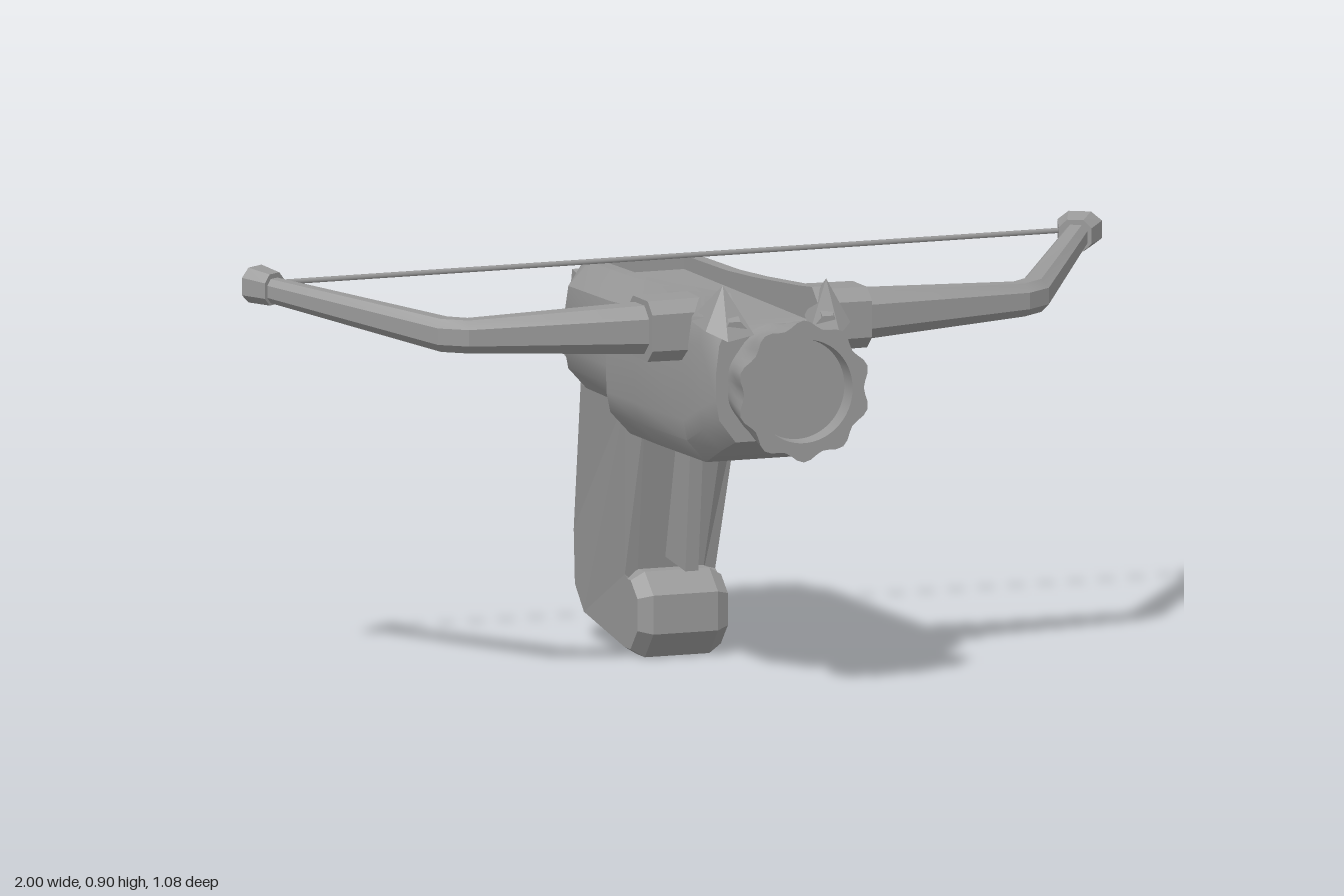
import * as THREE from 'three';
import { toCreasedNormals } from 'three/addons/utils/BufferGeometryUtils.js';
import { ConvexGeometry } from 'three/addons/geometries/ConvexGeometry.js';

const V = (x, y, z) => new THREE.Vector3(x, y, z);

// Skin a list of closed rings; rings run counter-clockwise seen from ahead
function loft(rings, crease = 0.6) {
  const pos = [];
  const tri = (...p) => p.forEach((v) => pos.push(v.x, v.y, v.z));
  const n = rings[0].length;
  for (let i = 0; i < rings.length - 1; i++) {
    for (let j = 0; j < n; j++) {
      const k = (j + 1) % n;
      const a = rings[i][j], b = rings[i][k], c = rings[i + 1][k], d = rings[i + 1][j];
      tri(a, b, c);
      tri(a, c, d);
    }
  }
  const cap = (ring, flip) => {
    const m = ring.reduce((s, p) => s.add(p), V(0, 0, 0)).divideScalar(n);
    ring.forEach((p, j) => {
      const q = ring[(j + 1) % n];
      if (flip) tri(m, q, p);
      else tri(m, p, q);
    });
  };
  cap(rings[0], true);
  cap(rings[rings.length - 1], false);
  const geo = new THREE.BufferGeometry();
  geo.setAttribute('position', new THREE.Float32BufferAttribute(pos, 3));
  geo.computeVertexNormals();
  return toCreasedNormals(geo, crease);
}

// Chamfered-square tube along a path of [x, y, z, halfWidth, halfHeight]
function limb(path, c = 0.5) {
  const pts = path.map((p) => V(p[0], p[1], p[2]));
  const corners = [[1, -c], [1, c], [c, 1], [-c, 1], [-1, c], [-1, -c], [-c, -1], [c, -1]];
  return loft(pts.map((p, i) => {
    const t = V(0, 0, 0);
    if (i > 0) t.add(p.clone().sub(pts[i - 1]).normalize());
    if (i < pts.length - 1) t.add(pts[i + 1].clone().sub(p).normalize());
    t.y = 0;
    const side = V(0, 1, 0).cross(t.normalize());
    return corners.map(([a, b]) =>
      p.clone().addScaledVector(side, a * path[i][3]).add(V(0, b * path[i][4], 0)));
  }), 0.3);
}

// Body section with an open channel between two rails
function bodyRing([z, w, top, bot, floor, slope = 0]) {
  const rail = Math.min(0.125, w * 0.8);
  const half = [
    [0.7 * w, bot], [0.95 * w, bot + 0.05], [w, bot + 0.095], [w, top - 0.11],
    [0.95 * w, top - 0.05], [rail, top], [0.095, top], [0.095, floor],
  ];
  const all = [...half, ...half.map(([x, y]) => [-x, y]).reverse()];
  return all.map(([x, y]) => V(x, y, z + slope * (y - 0.71)));
}

// Side outline (depth to the back, height) extruded across the width
function sidePlate(outline, width, size, thick) {
  const bevel = size > 0;
  const depth = width - 2 * thick;
  const geo = new THREE.ExtrudeGeometry(
    new THREE.Shape(outline.map(([z, y]) => new THREE.Vector2(-z, y))),
    { depth, bevelEnabled: bevel, bevelSize: size, bevelOffset: -size, bevelThickness: thick, bevelSegments: 1 });
  return geo.translate(0, 0, -depth / 2).rotateY(Math.PI / 2);
}

export function createModel() {
  const model = new THREE.Group();
  const grey = new THREE.MeshStandardMaterial({ color: 0x999999 });
  grey.name = 'grey';
  const add = (name, geo) => {
    const mesh = new THREE.Mesh(geo, grey);
    mesh.name = name;
    model.add(mesh);
    return mesh;
  };

  // Body, from the slanted rear to the nose
  add('body', loft([
    [-0.4875, 0.125, 0.81, 0.61, 0.81, 0.237],
    [-0.443, 0.15, 0.825, 0.56, 0.825],
    [-0.385, 0.183, 0.84, 0.56, 0.84],
    [-0.385, 0.183, 0.84, 0.56, 0.81],
    [-0.14, 0.185, 0.845, 0.56, 0.81],
    [-0.139, 0.185, 0.845, 0.503, 0.81],
    [0.02, 0.183, 0.855, 0.503, 0.81],
    [0.28, 0.175, 0.877, 0.505, 0.81],
    [0.35, 0.165, 0.885, 0.54, 0.81],
    [0.41, 0.152, 0.83, 0.567, 0.80],
  ].map(bodyRing)));

  // Rear frame
  const rect = (w, h) => [[-w, -h], [w, -h], [w, h], [-w, h]].map(([x, y]) => new THREE.Vector2(x, y));
  const frameShape = new THREE.Shape(rect(0.128, 0.1));
  frameShape.holes.push(new THREE.Path(rect(0.108, 0.08)));
  const frame = add('rearFrame', new THREE.ExtrudeGeometry(frameShape, { depth: 0.03, bevelEnabled: false }));
  frame.geometry.translate(0, 0, -0.012);
  frame.position.set(0, 0.71, -0.4875);
  frame.rotation.x = 0.233;

  // Fluted, flared muzzle with a recessed mouth
  const muzzle = [
    [0.38, 0.125, 0], [0.42, 0.126, 0.002], [0.48, 0.137, 0.006], [0.54, 0.147, 0.008],
    [0.54, 0.113, 0], [0.50, 0.11, 0],
  ];
  add('muzzle', loft(muzzle.map(([z, r, flute]) =>
    Array.from({ length: 60 }, (_, i) => {
      const a = (i / 60) * Math.PI * 2 + Math.PI / 2;
      const q = r + flute * Math.cos(10 * (a - Math.PI / 2));
      return V(q * Math.cos(a), 0.692 + q * Math.sin(a), z);
    }))));

  // Grip with a forward hook at the foot, narrowing downwards
  const grip = sidePlate([
    [-0.135, 0.6], [-0.14, 0.55], [-0.235, 0.155], [-0.232, 0.19], [-0.19, 0.19], [-0.14, 0.145],
    [-0.14, 0.06], [-0.19, 0.003], [-0.235, 0.003], [-0.475, 0.045], [-0.536, 0.108],
    [-0.536, 0.237], [-0.435, 0.57], [-0.43, 0.6],
  ], 0.21, 0.018, 0.03);
  const p = grip.attributes.position;
  for (let i = 0; i < p.count; i++) {
    const t = THREE.MathUtils.clamp((p.getY(i) - 0.2) / 0.35, 0, 1);
    p.setX(i, p.getX(i) * (1 + 0.26 * t));
  }
  grip.computeVertexNormals();
  add('grip', grip);

  // Trigger blade
  add('trigger', sidePlate([[-0.075, 0.495], [-0.105, 0.2], [-0.225, 0.215], [-0.2, 0.35], [-0.15, 0.52]], 0.03, 0, 0));

  // Mirrored sights, sockets, bow arms and tips
  for (const s of [1, -1]) {
    const side = s > 0 ? 'left' : 'right';
    add(side + 'Sight', new ConvexGeometry([
      V(s * 0.12, 0.905, 0.37), V(s * 0.168, 0.81, 0.39), V(s * 0.13, 0.79, 0.425), V(s * 0.065, 0.8, 0.415),
      V(s * 0.165, 0.82, 0.29), V(s * 0.09, 0.82, 0.32), V(s * 0.12, 0.885, 0.34),
    ]));
    add(side + 'Socket', limb([[s * 0.11, 0.797, 0.23, 0.07, 0.068], [s * 0.255, 0.797, 0.23, 0.07, 0.066]], 0.6));
    add(side + 'BowArm', limb([
      [s * 0.2, 0.798, 0.23, 0.058, 0.055], [s * 0.64, 0.8, 0.192, 0.036, 0.036],
      [s * 0.685, 0.802, 0.165, 0.036, 0.036], [s * 0.94, 0.858, -0.215, 0.025, 0.026],
    ]));
    add(side + 'BowTip', limb([
      [s * 0.93, 0.859, -0.203, 0.036, 0.034], [s * 0.958, 0.866, -0.246, 0.049, 0.038],
    ]));
  }

  // Bowstring
  const string = add('bowstring', new THREE.CylinderGeometry(0.006, 0.006, 1.87, 6));
  string.rotation.z = Math.PI / 2;
  string.position.set(0, 0.866, -0.24);

  return model;
}
